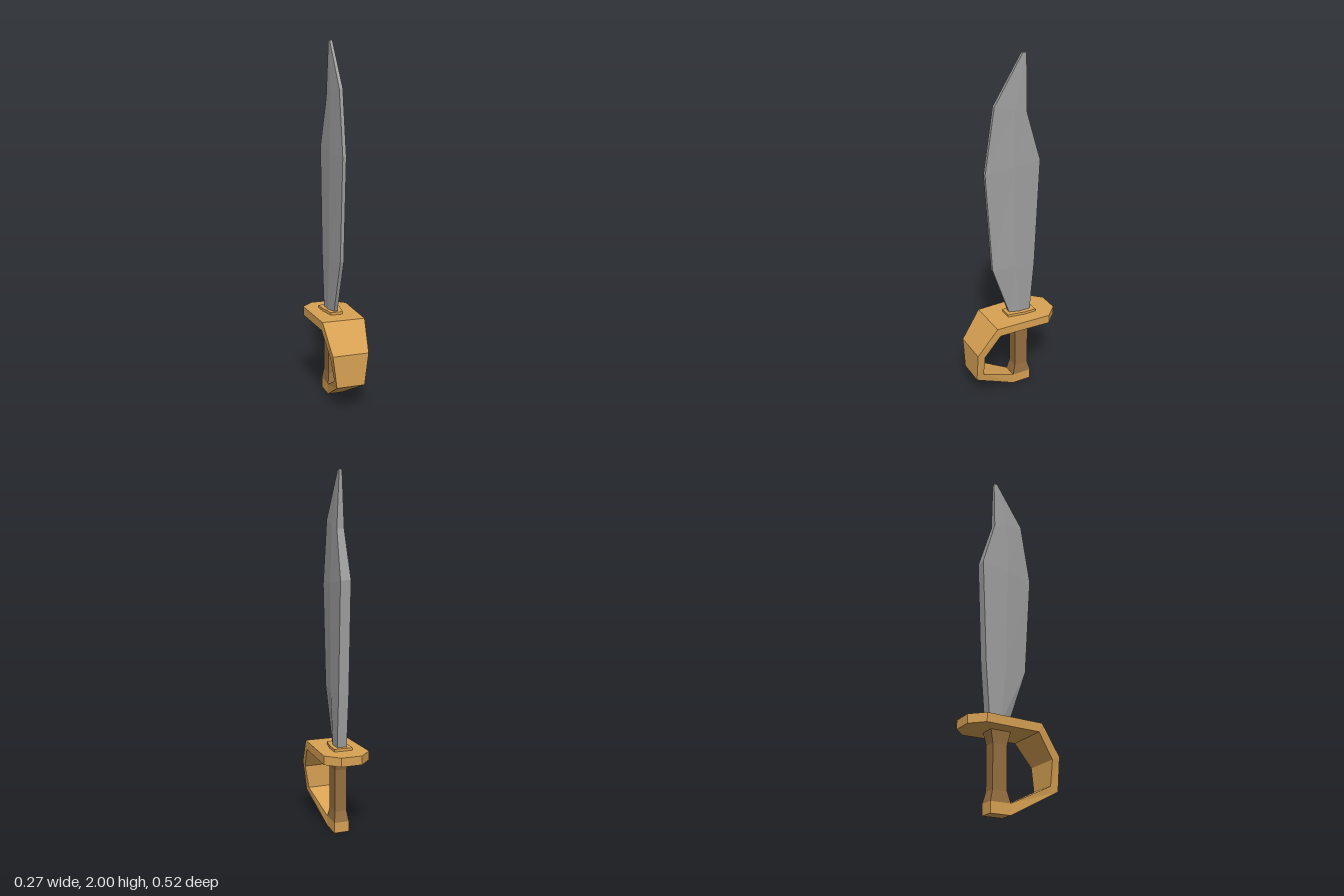
import * as THREE from 'three';

// Skin between matching rings of points, counter-clockwise seen from the far end, with flat caps.
function loft(rings) {
  const pos = [];
  const tri = (a, b, c) => pos.push(...a, ...b, ...c);
  const n = rings[0].length;
  for (let i = 0; i < rings.length - 1; i++) {
    for (let j = 0; j < n; j++) {
      const k = (j + 1) % n;
      const a = rings[i][j], b = rings[i][k], c = rings[i + 1][k], d = rings[i + 1][j];
      tri(a, b, c);
      tri(a, c, d);
    }
  }
  const first = rings[0], last = rings[rings.length - 1];
  for (let j = 1; j < n - 1; j++) {
    tri(first[0], first[j + 1], first[j]);
    tri(last[0], last[j], last[j + 1]);
  }
  const geo = new THREE.BufferGeometry();
  geo.setAttribute('position', new THREE.Float32BufferAttribute(pos, 3));
  geo.computeVertexNormals();
  return geo;
}

// Ring mirrored across x = 0 from its +x points, listed front to back.
const mirrored = (half) => [...half, ...half.slice().reverse().map(([x, y, z]) => [-x, y, z])];

export function createModel() {
  const steel = new THREE.MeshStandardMaterial({ color: 0xa0a0a0, flatShading: true });
  steel.name = 'steel';
  const brass = new THREE.MeshStandardMaterial({ color: 0xd9a254, flatShading: true });
  brass.name = 'brass';
  const leather = new THREE.MeshStandardMaterial({ color: 0x966f40, flatShading: true });
  leather.name = 'leather';

  const model = new THREE.Group();
  model.name = 'sword';
  const add = (name, geometry, material) => {
    const mesh = new THREE.Mesh(geometry, material);
    mesh.name = name;
    model.add(mesh);
  };

  // Blade: thick spine at the back, bevelled towards the thin front edge.
  // [front y, front z, front half width, middle z, back y, back z, back half width]
  const blade = [
    [0.48, 0.005, 0.01, -0.05, 0.48, -0.117, 0.028],
    [0.80, 0.115, 0.01, -0.02, 0.80, -0.143, 0.03],
    [1.38, 0.153, 0.01, -0.01, 1.42, -0.17, 0.03],
    [1.74, 0.095, 0.01, -0.02, 1.69, -0.092, 0.021],
    [2.00, -0.07, 0.008, -0.08, 2.00, -0.092, 0.008],
  ].map(([fy, fz, fw, mz, by, bz, bw]) =>
    mirrored([[fw, fy, fz], [bw, (fy + by) / 2, mz], [bw, by, bz]]));
  add('blade', loft(blade), steel);

  // Collar plate around the foot of the blade
  const collar = [0.475, 0.495].map((y) =>
    mirrored([[0.035, y, 0.03], [0.053, y, -0.07], [0.053, y, -0.143]]));
  add('collar', loft(collar), brass);

  // Hand guard: one tapering strap from the rear tip, round the knuckles, to the pommel.
  // [outer z, outer y, inner z, inner y, half width]
  const guard = [
    [-0.263, 0.48, -0.263, 0.43, 0.06],
    [-0.19, 0.48, -0.19, 0.43, 0.133],
    [0.145, 0.48, 0.125, 0.43, 0.123],
    [0.262, 0.32, 0.217, 0.30, 0.103],
    [0.262, 0.14, 0.217, 0.165, 0.08],
    [0, 0, 0, 0.06, 0.043],
    [-0.117, 0, -0.117, 0.06, 0.043],
  ].map(([oz, oy, iz, iy, w]) => [[w, iy, iz], [w, oy, oz], [-w, oy, oz], [-w, iy, iz]]);
  add('handGuard', loft(guard), brass);

  // Grip: square bar flared at both ends
  const grip = [
    [0.06, 0, -0.117, 0.043],
    [0.12, -0.016, -0.101, 0.035],
    [0.36, -0.016, -0.101, 0.035],
    [0.43, 0, -0.117, 0.043],
  ].map(([y, front, back, w]) => mirrored([[w, y, front], [w, y, back]]));
  add('grip', loft(grip), leather);

  return model;
}
